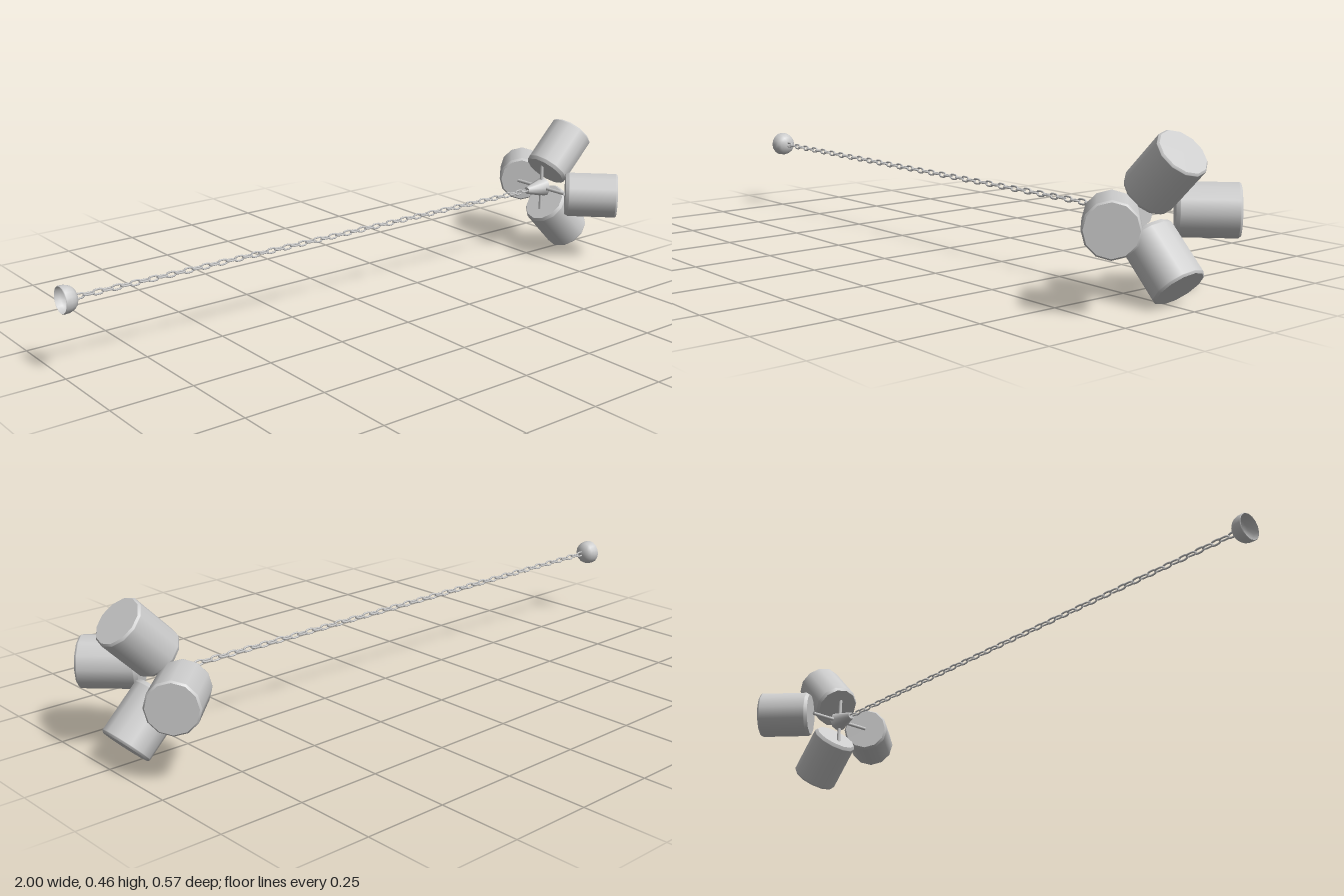
import * as THREE from 'three';

const AXIS_Y = 0.2275;
const material = new THREE.MeshStandardMaterial({ color: 0xcccccc, side: THREE.DoubleSide });

function add(parent, name, geometry) {
  const mesh = new THREE.Mesh(geometry, material);
  mesh.name = name;
  parent.add(mesh);
  return mesh;
}

// Lathe with creased profile corners; points are [radius, height]
function lathe(points, segments) {
  const strips = points.map(([r, y]) => new THREE.Vector2(r, y));
  return new THREE.LatheGeometry(strips, segments);
}

// Lamp shade: 12-sided can along +y, front face at y = 0, bevelled at both ends
function addShade(parent, name, x, out, angle) {
  const pivot = new THREE.Group();
  pivot.name = name;
  pivot.rotation.x = angle;
  const can = new THREE.Group();
  can.position.set(x, out, 0);
  can.rotation.z = -Math.PI / 4;
  add(can, 'shadeBody', lathe([
    [0.07, -0.172], [0.076, -0.162], [0.076, -0.16], [0.076, -0.007], [0.076, -0.005], [0.071, 0],
  ], 12));
  const face = add(can, 'shadeFace', new THREE.CircleGeometry(0.071, 12));
  face.rotation.set(-Math.PI / 2, 0, 0);
  const back = add(can, 'shadeBack', new THREE.CircleGeometry(0.07, 12));
  back.rotation.x = Math.PI / 2;
  back.position.y = -0.172;
  pivot.add(can);
  // Stem from the hub to the shade
  const stem = add(pivot, 'stem', new THREE.CylinderGeometry(0.006, 0.006, 0.11, 8));
  stem.position.set(0.81, 0.055, 0);
  parent.add(pivot);
}

// Closed stadium-shaped path of one chain link, long axis on x
function linkGeometry(length, width, tube) {
  const r = width / 2 - tube, h = length / 2 - tube - r;
  const points = [];
  for (const side of [1, -1]) {
    for (let i = 0; i <= 4; i++) {
      const a = -Math.PI / 2 + (i * Math.PI) / 4;
      points.push(new THREE.Vector3(side * (h + r * Math.cos(a)), side * r * Math.sin(a), 0));
    }
  }
  return new THREE.TubeGeometry(new THREE.CatmullRomCurve3(points, true), 20, tube, 5, true);
}

export function createModel() {
  const model = new THREE.Group();
  model.name = 'chainLamp';
  // Everything is laid out around the lamp's long axis
  const lamp = new THREE.Group();
  lamp.name = 'lamp';
  lamp.position.y = AXIS_Y;
  model.add(lamp);

  // Canopy: open shallow bowl
  const canopy = add(lamp, 'canopy', lathe([
    [0.038, 0], [0.04, 0.002], [0.039, 0.018], [0.035, 0.03], [0.026, 0.04], [0.012, 0.045], [0, 0.046],
  ], 16));
  canopy.rotation.z = -Math.PI / 2;
  canopy.position.x = -1;

  // Chain: alternating links
  const chain = new THREE.Group();
  chain.name = 'chain';
  const link = linkGeometry(0.036, 0.019, 0.003);
  const count = 60, start = -0.945, end = 0.73;
  for (let i = 0; i < count; i++) {
    const mesh = add(chain, 'chainLink', link);
    mesh.position.x = start + ((end - start) * i) / (count - 1);
    mesh.rotation.x = (i % 2) * Math.PI / 2;
  }
  lamp.add(chain);

  // Hub: widening block the stems grow from
  const hub = add(lamp, 'hub', new THREE.CylinderGeometry(0.033, 0.012, 0.08, 8));
  hub.rotation.z = -Math.PI / 2;
  hub.position.x = 0.78;

  // Shades: up, front, down, back
  addShade(lamp, 'upperShade', 0.949, 0.1773, 0);
  addShade(lamp, 'frontShade', 0.932, 0.234, Math.PI / 2);
  addShade(lamp, 'lowerShade', 0.949, 0.1773, Math.PI);
  addShade(lamp, 'backShade', 0.947, 0.234, -Math.PI / 2);
  return model;
}
